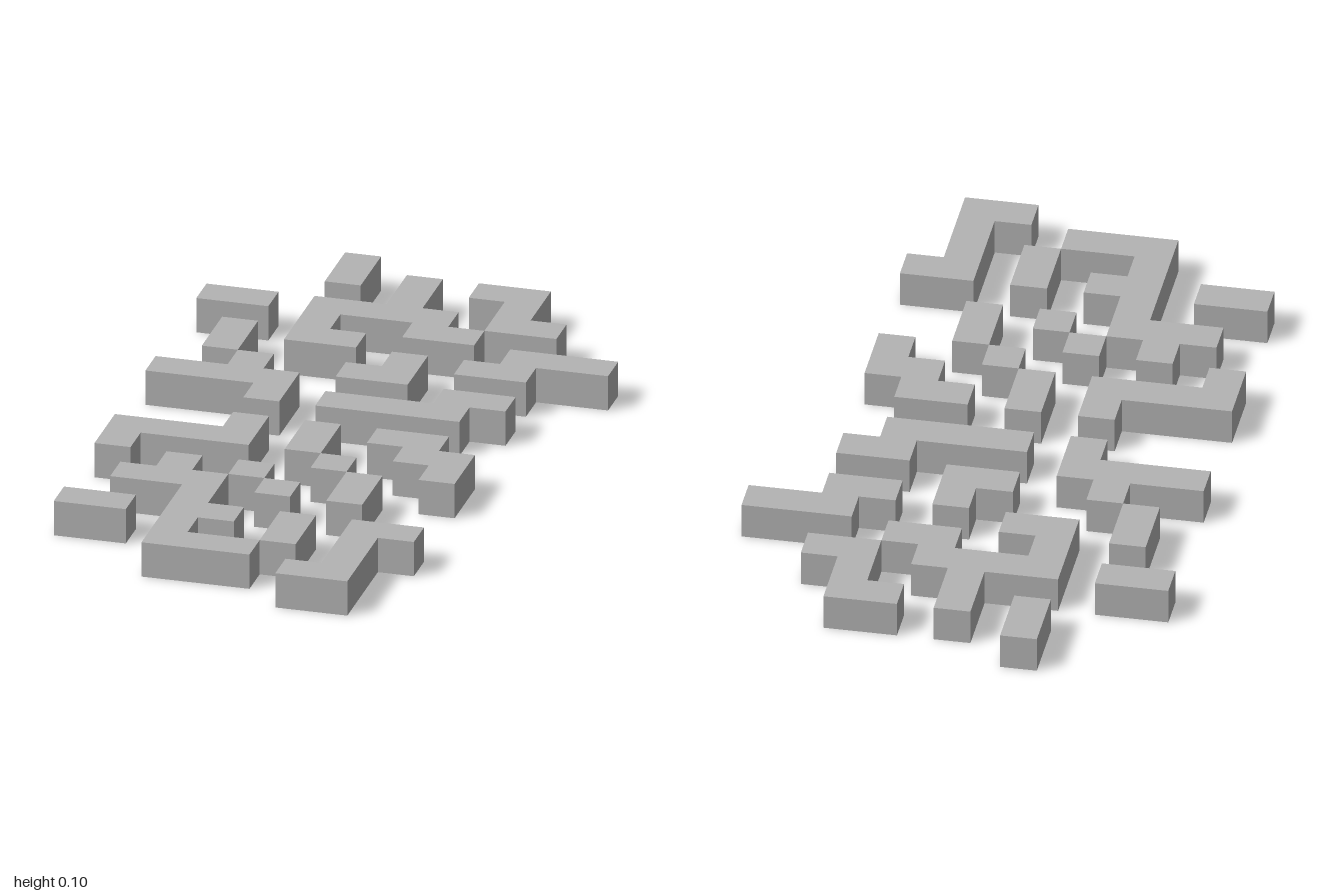
import * as THREE from 'three';

// Maze of flat blocks on a grid of 12 x 21 square cells
const COLS = 12, ROWS = 21, CELL = 2 / ROWS;

// Each outline is walked as x, z, x, z... (column and row lines), turning a right angle at every step
const bars = [
  [3, 0, 4, 2], [0, 3, 2, 4], [1, 5, 2, 7], [5, 11, 6, 13],
  [7, 14, 8, 16], [0, 17, 2, 18], [6, 17, 7, 19],
];
const cubes = [[6, 13, 7, 14], [4, 14, 5, 15], [5, 15, 6, 16]];
const bentBlocks = [
  [7, 1, 9, 3, 10, 4, 8, 2],
  [9, 5, 12, 6, 10, 7, 8, 6],
  [6, 6, 7, 8, 5, 7],
  [8, 8, 10, 9, 9, 10, 5, 9],
  [3, 11, 4, 13, 1, 14, 0, 12],
  [7, 11, 9, 12, 10, 14, 9, 13, 8, 12],
  [8, 17, 10, 18, 9, 21, 7, 20],
];
const branchedBlocks = [
  [5, 1, 6, 3, 7, 4, 8, 5, 6, 4, 4, 5, 5, 6, 3, 3],
  [2, 7, 3, 8, 4, 10, 3, 9, 0, 8],
  [2, 14, 3, 15, 4, 17, 5, 18, 4, 19, 6, 20, 3, 16, 1, 15],
];

function blockGeometry(path) {
  const points = [];
  const corner = (x, z) => points.push(
    new THREE.Vector2((x - COLS / 2) * CELL, (ROWS / 2 - z) * CELL));
  for (let i = 0; i < path.length; i += 2) {
    corner(path[i], path[i + 1]);
    corner(path[(i + 2) % path.length], path[i + 1]);
  }
  const geometry = new THREE.ExtrudeGeometry(new THREE.Shape(points), {
    depth: CELL, bevelEnabled: false,
  });
  return geometry.rotateX(-Math.PI / 2);
}

export function createModel() {
  const model = new THREE.Group();
  model.name = 'blockMaze';
  const grey = new THREE.MeshStandardMaterial({ color: 0xb3b3b3 });
  grey.name = 'grey';

  const families = { bar: bars, cube: cubes, bentBlock: bentBlocks, branchedBlock: branchedBlocks };
  for (const [name, paths] of Object.entries(families)) {
    paths.forEach((path, i) => {
      const mesh = new THREE.Mesh(blockGeometry(path), grey);
      mesh.name = `${name}${i + 1}`;
      model.add(mesh);
    });
  }
  return model;
}
